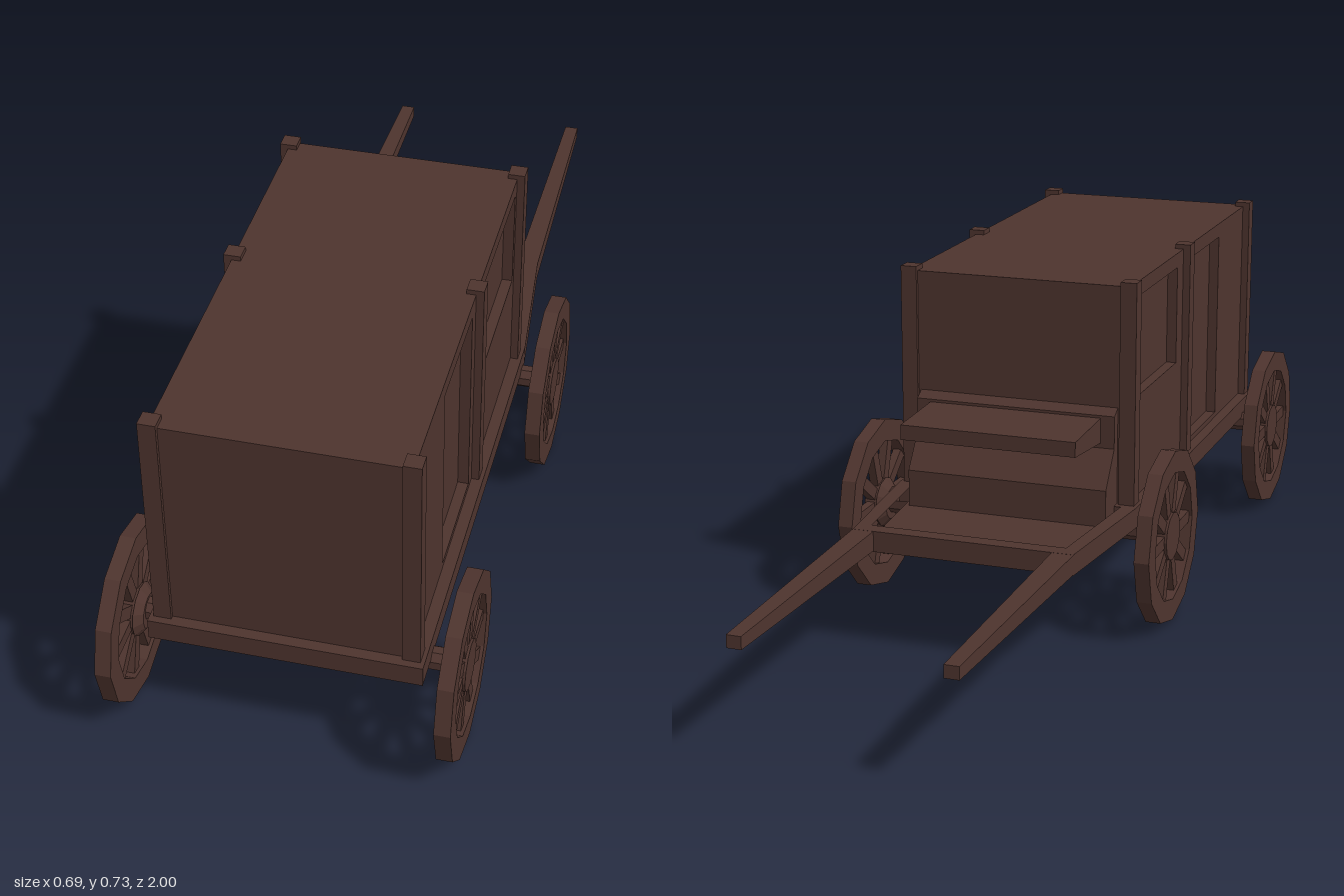
import * as THREE from 'three';

const wood = new THREE.MeshStandardMaterial({ color: 0x4e342e });
wood.name = 'dark brown wood';

function add(parent, name, geometry, x = 0, y = 0, z = 0) {
  const flat = geometry.index ? geometry.toNonIndexed() : geometry;
  flat.computeVertexNormals();
  const mesh = new THREE.Mesh(flat, wood);
  mesh.name = name;
  mesh.position.set(x, y, z);
  parent.add(mesh);
  return mesh;
}

// Box given by its limits on each axis
function block(parent, name, [x0, x1], [y0, y1], [z0, z1]) {
  return add(parent, name, new THREE.BoxGeometry(x1 - x0, y1 - y0, z1 - z0),
    (x0 + x1) / 2, (y0 + y1) / 2, (z0 + z1) / 2);
}

const toPoints = (list) => list.map(([a, b]) => new THREE.Vector2(a, b));

function extrude(outline, holes, depth) {
  const shape = new THREE.Shape(toPoints(outline));
  for (const h of holes) shape.holes.push(new THREE.Path(toPoints(h)));
  return new THREE.ExtrudeGeometry(shape, { depth, bevelEnabled: false });
}

const rect = (a0, a1, b0, b1) => [[a0, b0], [a1, b0], [a1, b1], [a0, b1]];

function ring(radius, sides) {
  return Array.from({ length: sides }, (_, i) => {
    const a = (i / sides) * Math.PI * 2;
    return [Math.cos(a) * radius, Math.sin(a) * radius];
  });
}

function makeWheel() {
  const wheel = new THREE.Group();
  wheel.name = 'wheel';
  const rim = extrude(ring(0.187, 12), [ring(0.14, 12)], 0.032);
  rim.translate(0, 0, -0.016).rotateY(Math.PI / 2);
  add(wheel, 'rim', rim);
  // Drum hub with a flared inner collar
  add(wheel, 'hub', new THREE.CylinderGeometry(0.052, 0.052, 0.028, 12).rotateZ(-Math.PI / 2));
  add(wheel, 'hubCollar', new THREE.CylinderGeometry(0.055, 0.036, 0.016, 12).rotateZ(-Math.PI / 2), -0.022);
  for (let i = 0; i < 10; i++) {
    const spoke = new THREE.BoxGeometry(0.018, 0.11, 0.026).translate(0, 0.097, 0);
    spoke.rotateX(((i + 0.5) / 10) * Math.PI * 2);
    add(wheel, 'spoke', spoke);
  }
  return wheel;
}

// Shaft narrowing toward its free end
function makeShaft(side) {
  const g = new THREE.BoxGeometry(1, 1, 1);
  const p = g.attributes.position;
  for (let i = 0; i < p.count; i++) {
    const t = 0.5 - p.getZ(i);
    p.setXYZ(i,
      side * (0.214 - 0.004 * t) + p.getX(i) * (0.046 - 0.016 * t),
      0.229 + p.getY(i) * (0.042 - 0.016 * t),
      -0.39 - 0.61 * t);
  }
  return g;
}

export function createModel() {
  const model = new THREE.Group();
  model.name = 'carriage';

  // Chassis: long bed and the tapered footwell in front of it
  block(model, 'bed', [-0.268, 0.268], [0.206, 0.25], [-0.09, 0.9]);
  const outer = [[-0.268, -0.09], [0.268, -0.09], [0.236, -0.41], [-0.236, -0.41]];
  const inner = [[-0.235, -0.095], [0.235, -0.095], [0.21, -0.375], [-0.21, -0.375]];
  add(model, 'footwellFrame', extrude(outer, [inner], 0.044).rotateX(Math.PI / 2), 0, 0.25, 0);
  add(model, 'footwellFloor', extrude(inner, [], 0.014).rotateX(Math.PI / 2), 0, 0.221, 0);
  for (const side of [-1, 1]) add(model, 'shaft', makeShaft(side));

  // Cabin core, end walls and roof
  block(model, 'cabinCore', [-0.222, 0.222], [0.25, 0.71], [-0.055, 0.86]);
  block(model, 'endWall', [-0.225, 0.225], [0.25, 0.717], [0.85, 0.877]);
  block(model, 'driverWall', [-0.225, 0.225], [0.25, 0.717], [-0.072, -0.045]);
  block(model, 'roof', [-0.243, 0.243], [0.7, 0.717], [-0.072, 0.877]);

  // Side walls with a recessed window and door
  const wall = extrude(rect(-0.06, 0.87, 0.25, 0.717),
    [rect(-0.03, 0.28, 0.47, 0.685), rect(0.39, 0.63, 0.262, 0.685)], 0.022);
  wall.rotateY(-Math.PI / 2);
  add(model, 'sideWallLeft', wall, 0.244);
  add(model, 'sideWallRight', wall.clone(), -0.222);

  // Posts
  for (const z of [-0.08, 0.325, 0.85])
    for (const side of [-1, 1]) {
      const xs = side > 0 ? [0.225, 0.26] : [-0.26, -0.225];
      block(model, 'post', xs, [0.25, 0.727], [z, z + 0.035]);
    }

  // Driver's seat on a sloping riser
  const riser = extrude([[-0.06, 0.465], [-0.095, 0.445], [-0.095, 0.375], [-0.15, 0.3],
    [-0.15, 0.215], [-0.06, 0.215]], [], 0.44).rotateY(-Math.PI / 2);
  add(model, 'seatRiser', riser, 0.22);
  const seat = extrude([[-0.07, 0.44], [-0.262, 0.434], [-0.262, 0.402], [-0.07, 0.383]], [], 0.38);
  add(model, 'seat', seat.rotateY(-Math.PI / 2), 0.19);

  // Axles and wheels
  for (const z of [-0.06, 0.813]) {
    add(model, 'axle', new THREE.CylinderGeometry(0.024, 0.024, 0.61, 8).rotateZ(Math.PI / 2)
      .rotateX(Math.PI / 8), 0, 0.194, z);
    for (const side of [-1, 1]) {
      const wheel = makeWheel();
      wheel.position.set(side * 0.327, side > 0 ? 0.191 : 0.187, z);
      if (side < 0) wheel.rotation.y = Math.PI;
      model.add(wheel);
    }
  }
  return model;
}
